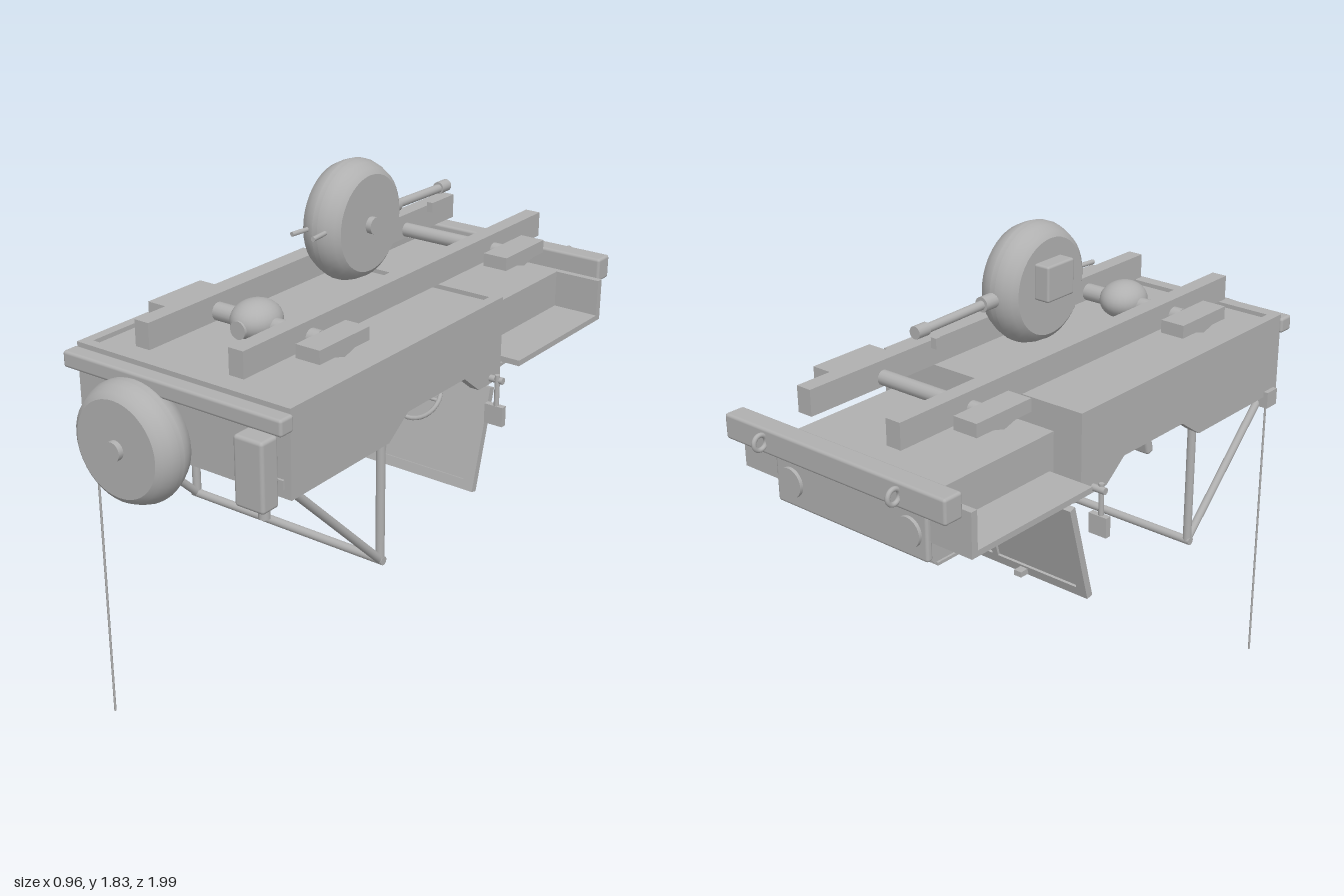
import * as THREE from 'three';
import { toCreasedNormals } from 'three/addons/utils/BufferGeometryUtils.js';
import { RoundedBoxGeometry } from 'three/addons/geometries/RoundedBoxGeometry.js';

export function createModel() {
  const model = new THREE.Group();
  const grey = new THREE.MeshStandardMaterial({ color: 0xb0b0b0 });
  grey.name = 'plain grey';

  const add = (name, geo, parent = model) => {
    const mesh = new THREE.Mesh(geo, grey);
    mesh.name = name;
    parent.add(mesh);
    return mesh;
  };
  // box given by its min and max along each axis
  const box = (name, x0, x1, y0, y1, z0, z1, parent) =>
    add(name, new THREE.BoxGeometry(x1 - x0, y1 - y0, z1 - z0)
      .translate((x0 + x1) / 2, (y0 + y1) / 2, (z0 + z1) / 2), parent);
  const softBox = (name, x0, x1, y0, y1, z0, z1, r = 0.01) =>
    add(name, new RoundedBoxGeometry(x1 - x0, y1 - y0, z1 - z0, 2, r)
      .translate((x0 + x1) / 2, (y0 + y1) / 2, (z0 + z1) / 2));
  // round bar between two points
  const rod = (name, a, b, r, sides = 16) => {
    const p = new THREE.Vector3(...a), q = new THREE.Vector3(...b);
    const mesh = add(name, new THREE.CylinderGeometry(r, r, p.distanceTo(q), sides));
    mesh.position.copy(p).add(q).multiplyScalar(0.5);
    mesh.quaternion.setFromUnitVectors(new THREE.Vector3(0, 1, 0), q.sub(p).normalize());
    return mesh;
  };
  // outline of [z, y] points extruded across x0..x1
  const profile = (name, pts, x0, x1) => {
    const shape = new THREE.Shape(pts.map(([z, y]) => new THREE.Vector2(z, y)));
    const geo = new THREE.ExtrudeGeometry(shape, { depth: x1 - x0, bevelEnabled: false });
    return add(name, geo.rotateY(-Math.PI / 2).translate(x1, 0, 0));
  };
  const wheel = (name) => {
    const pts = [[0, -0.075], [0.16, -0.075], [0.178, -0.062], [0.192, -0.035], [0.2, -0.01],
      [0.2, 0.01], [0.192, 0.035], [0.178, 0.062], [0.16, 0.075], [0, 0.075]];
    const geo = new THREE.LatheGeometry(pts.map(([r, y]) => new THREE.Vector2(r, y)), 40);
    return add(name, toCreasedNormals(geo, 0.6));
  };

  // open tub: side walls with wheel cut-outs, end walls and floor
  const side = [[0.83, 1.37], [0.83, 1.08], [0.35, 1.08], [0.25, 1.15], [-0.07, 1.15],
    [-0.16, 1.08], [-0.29, 1.08], [-0.29, 1.37]];
  profile('bodySide', side, 0.385, 0.42);
  profile('bodySide', side, -0.42, -0.385);
  box('bodyEndWall', -0.385, 0.385, 1.08, 1.37, 0.795, 0.83);
  box('bodyCowlWall', -0.385, 0.385, 1.08, 1.37, -0.29, -0.26);
  box('bodyFloor', -0.385, 0.385, 1.325, 1.355, -0.26, 0.795);
  softBox('endBumper', -0.43, 0.43, 1.30, 1.355, 0.825, 0.885);
  box('tailLamp', -0.395, -0.345, 1.11, 1.14, 0.83, 0.838);
  box('tailLamp', 0.345, 0.395, 1.11, 1.14, 0.83, 0.838);

  // hood with panels that narrow towards its end
  profile('hood', [[-0.28, 1.28], [-0.28, 1.025], [-0.83, 1.045], [-0.86, 1.07], [-0.86, 1.28]], -0.31, 0.31);
  box('hoodSeam', -0.318, 0.318, 1.04, 1.05, -0.83, -0.29);
  softBox('hoodEndFrame', -0.32, 0.32, 1.065, 1.275, -0.875, -0.85);
  softBox('bumper', -0.46, 0.46, 1.26, 1.345, -0.945, -0.87);

  for (const s of [-1, 1]) {
    const span = (a, b) => (s > 0 ? [a, b] : [-b, -a]);
    // fender ledge with its upright end plate
    box('fender', ...span(0.31, 0.48), 1.13, 1.15, -0.84, -0.31);
    box('fenderEnd', ...span(0.31, 0.48), 1.13, 1.28, -0.86, -0.835);
    box('hoodLatch', ...span(0.31, 0.318), 1.1, 1.12, -0.79, -0.71);
    rod('headlight', [s * 0.25, 1.15, -0.87], [s * 0.25, 1.15, -0.887], 0.05, 32);

    // towing eye
    const eye = add('towingEye', new THREE.TorusGeometry(0.024, 0.008, 10, 24).rotateY(Math.PI / 2));
    eye.position.set(s * 0.28, 1.305, -0.963);

    // mirror hanging from the body side
    rod('mirrorArm', [s * 0.41, 1.1, -0.23], [s * 0.47, 1.1, -0.23], 0.012);
    rod('mirrorPost', [s * 0.45, 1.12, -0.225], [s * 0.45, 1, -0.225], 0.009);
    box('mirror', ...span(0.41, 0.48), 0.94, 1.01, -0.237, -0.215);

    // frame rail and spring blocks
    box('frameRail', ...span(0.157, 0.213), 1.39, 1.477, -0.86, 0.785);
    for (const z of [-0.555, 0.47]) {
      profile('springBlock', [[z - 0.122, 1.447], [z + 0.122, 1.447], [z + 0.122, 1.402],
        [z + 0.05, 1.402], [z, 1.388], [z - 0.05, 1.402], [z - 0.122, 1.402]],
        ...span(0.25, 0.34));
    }

    // folded top frame
    rod('topFrameUpright', [s * 0.39, 1.1, 0.352], [s * 0.39, 0.66, 0.352], 0.015);
    rod('topFrameBrace', [s * 0.39, 1.08, 0.785], [s * 0.39, 0.66, 0.352], 0.014);

    // seats and inner wheel boxes
    softBox('seatCushion', ...span(0.08, 0.31), 1.19, 1.26, -0.03, 0.2, 0.015);
    box('seatBase', ...span(0.1, 0.29), 1.26, 1.33, -0.01, 0.18);
    const back = add('seatBack', new RoundedBoxGeometry(0.23, 0.24, 0.035, 2, 0.012));
    back.position.set(s * 0.195, 1.13, 0.203);
    back.rotation.x = -0.26;
    box('wheelBox', ...span(0.24, 0.385), 1.16, 1.33, 0.3, 0.795);
    box('wiperMotor', ...span(0.11, 0.14), 0.68, 0.7, -0.25, -0.2);
  }
  rod('topFrameCrossbar', [-0.405, 0.66, 0.352], [0.405, 0.66, 0.352], 0.015);
  box('rearBench', -0.24, 0.24, 1.2, 1.25, 0.55, 0.75);
  box('dashboard', -0.385, 0.385, 1.05, 1.17, -0.28, -0.25);

  // windshield: framed panes split by a centre bar
  const screen = new THREE.Group();
  screen.name = 'windshield';
  screen.position.set(0, 1.035, -0.293);
  screen.rotation.x = -0.26;
  model.add(screen);
  const frame = new THREE.Shape([[-0.39, -0.37], [0.39, -0.37], [0.39, 0], [-0.39, 0]]
    .map((p) => new THREE.Vector2(...p)));
  for (const x of [-0.35, 0.012]) {
    frame.holes.push(new THREE.Path([[x, -0.335], [x, -0.035], [x + 0.338, -0.035], [x + 0.338, -0.335]]
      .map((p) => new THREE.Vector2(...p))));
  }
  add('windshieldFrame', new THREE.ExtrudeGeometry(frame, { depth: 0.026, bevelEnabled: false })
    .translate(0, 0, -0.013), screen);
  box('windshieldPane', -0.355, 0.355, -0.34, -0.03, -0.004, 0.004, screen);

  // steering wheel
  const steer = add('steeringWheel', new THREE.TorusGeometry(0.085, 0.008, 10, 32));
  steer.position.set(0.19, 1.01, -0.14);
  steer.rotation.x = -0.71;
  rod('steeringColumn', [0.19, 1.01, -0.14], [0.19, 1.13, -0.27], 0.01);
  rod('steeringSpoke', [0.107, 1.01, -0.14], [0.273, 1.01, -0.14], 0.006);

  // pedestal and aerial
  rod('pedestal', [0, 1.34, 0.445], [0, 0.83, 0.445], 0.024);
  rod('aerial', [-0.4, 1.08, 0.8], [-0.4, 0, 0.8], 0.004, 8);
  rod('aerialBase', [-0.4, 1.09, 0.79], [-0.4, 1.03, 0.79], 0.014);
  box('aerialBracket', -0.437, -0.39, 1.04, 1.1, 0.75, 0.81);

  // spare wheel and fuel can on the end wall
  const spare = wheel('spareWheel');
  spare.rotation.x = Math.PI / 2;
  spare.position.set(-0.13, 1.14, 0.903);
  rod('spareHub', [-0.13, 1.14, 0.95], [-0.13, 1.14, 0.997], 0.032, 20);
  softBox('fuelCan', 0.27, 0.38, 1.05, 1.28, 0.835, 0.91, 0.012);
  rod('fuelCap', [0.35, 1.06, 0.87], [0.35, 1.02, 0.87], 0.018);

  // axles and differential
  rod('axle', [-0.25, 1.42, 0.47], [0.25, 1.42, 0.47], 0.03);
  rod('axle', [-0.25, 1.42, -0.555], [0.25, 1.42, -0.555], 0.025);
  const diff = add('differential', new THREE.SphereGeometry(1, 24, 16));
  diff.scale.set(0.08, 0.065, 0.09);
  diff.position.set(0, 1.43, 0.47);
  rod('differentialCap', [0, 1.42, 0.4], [0, 1.42, 0.562], 0.03);

  // upright wheel above the frame with its box, pins and shaft
  const top = wheel('upperWheel');
  top.rotation.z = Math.PI / 2;
  top.position.set(0, 1.625, -0.02);
  rod('upperHub', [0.06, 1.62, -0.02], [0.095, 1.62, -0.02], 0.028, 20);
  softBox('hubBox', -0.13, -0.07, 1.6, 1.72, -0.1, 0.03, 0.008);
  for (const s of [-1, 1]) rod('pin', [s * 0.03, 1.633, 0.13], [s * 0.042, 1.633, 0.24], 0.008, 10);
  rod('shaft', [0, 1.615, -0.2], [0, 1.608, -0.55], 0.015);
  rod('shaftCollar', [0, 1.615, -0.2], [0, 1.615, -0.27], 0.025);
  rod('shaftCollar', [0, 1.61, -0.52], [0, 1.61, -0.57], 0.021);
  box('shaftStop', -0.011, 0.011, 1.535, 1.57, -0.49, -0.47);
  return model;
}
